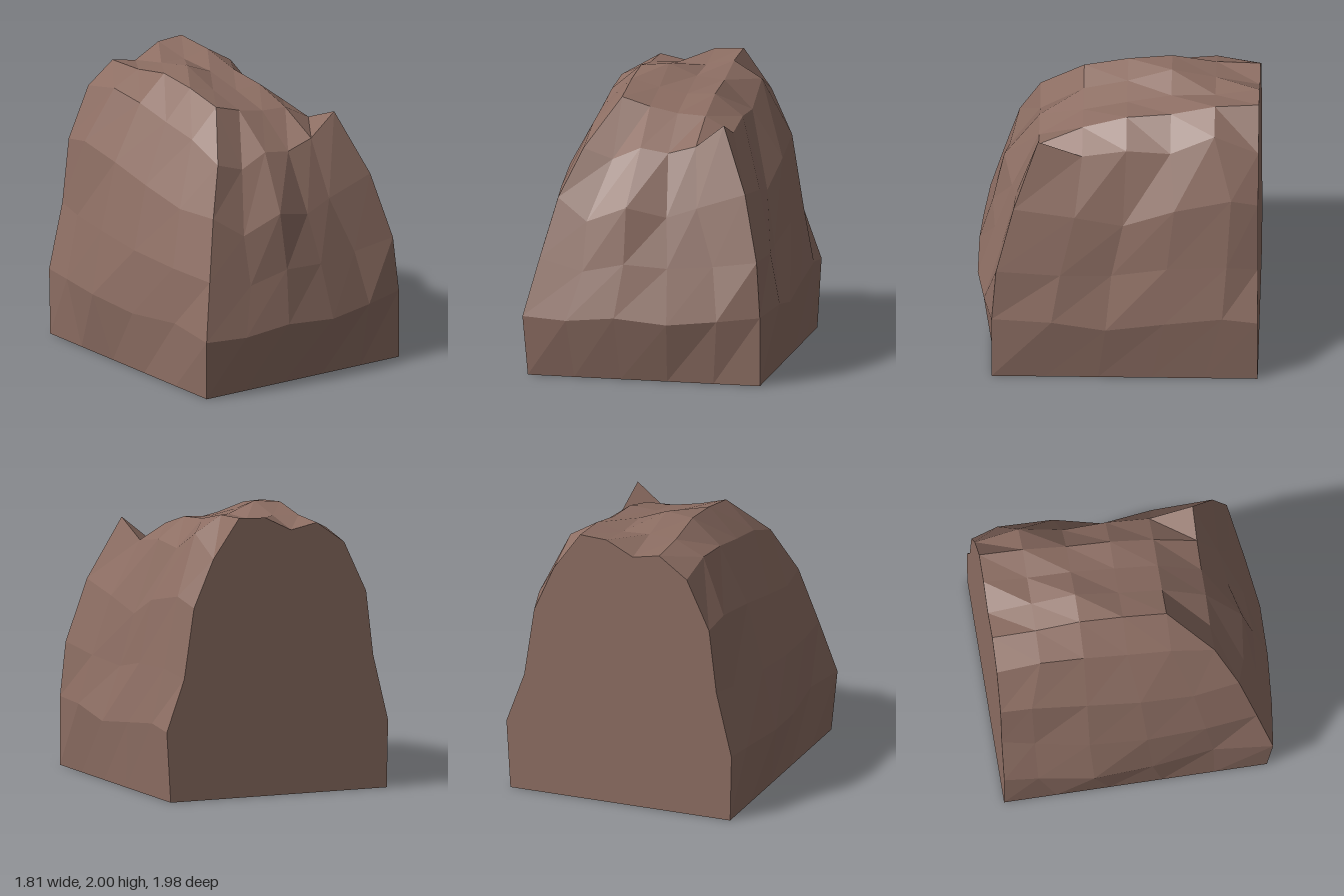
import * as THREE from 'three';

// Facetted sheet from a grid of [x, y, z] rows; rows run upward, columns to the viewer's right.
function sheet(name, rows, material) {
  const pos = [];
  for (let r = 0; r + 1 < rows.length; r++) {
    for (let c = 0; c + 1 < rows[r].length; c++) {
      const a = rows[r][c], b = rows[r][c + 1], d = rows[r + 1][c + 1], e = rows[r + 1][c];
      pos.push(...a, ...b, ...d, ...a, ...d, ...e);
    }
  }
  return facets(name, pos, material);
}

function facets(name, pos, material) {
  const geometry = new THREE.BufferGeometry();
  geometry.setAttribute('position', new THREE.Float32BufferAttribute(pos, 3));
  geometry.computeVertexNormals();
  const mesh = new THREE.Mesh(geometry, material);
  mesh.name = name;
  return mesh;
}

export function createModel() {
  const group = new THREE.Group();
  group.name = 'rock';
  const stone = new THREE.MeshStandardMaterial({ color: 0x8d6e63 });
  stone.name = 'brown stone';
  stone.flatShading = true;
  stone.side = THREE.DoubleSide;

  const steps = [0, 1, 2, 3, 4, 5];
  const lerp = (a, b, i) => a + (b - a) * i / 5;

  // Crown: heights over a regular grid, front row first
  const crownX = [-0.49, -0.28, -0.08, 0.12, 0.32, 0.52];
  const crownZ = [0.56, 0.25, -0.06, -0.37, -0.68, -0.99];
  const heights = [
    [1.58, 1.51, 1.6, 1.57, 1.63, 1.79],
    [1.69, 1.89, 1.83, 1.79, 1.78, 1.67],
    [1.74, 1.95, 1.9, 1.86, 1.87, 1.72],
    [1.8, 1.98, 2.0, 1.92, 1.9, 1.7],
    [1.83, 1.93, 1.94, 1.93, 1.97, 1.85],
    [1.77, 1.92, 1.88, 1.98, 1.99, 1.71],
  ];
  const crown = heights.map((row, j) => row.map((y, i) => [crownX[i], y, crownZ[j]]));

  // Front: straight foot, three bulging courses, then the crown edge
  const front = [
    steps.map(i => [lerp(-0.82, 0.85, i), 0, 0.88]),
    [[-0.85, 0.43, 0.92], [-0.53, 0.42, 0.96], [-0.18, 0.46, 0.985], [0.2, 0.43, 0.99], [0.55, 0.46, 0.94], [0.85, 0.49, 0.88]],
    [[-0.75, 0.83, 0.82], [-0.43, 0.76, 0.87], [-0.13, 0.83, 0.89], [0.18, 0.81, 0.87], [0.5, 0.83, 0.83], [0.82, 0.88, 0.85]],
    [[-0.64, 1.25, 0.71], [-0.42, 1.1, 0.775], [-0.13, 1.22, 0.81], [0.15, 1.15, 0.75], [0.36, 1.22, 0.72], [0.71, 1.34, 0.73]],
    crown[0],
  ];

  // Left side (+x), front to back
  const left = [
    steps.map(i => [0.85, 0, lerp(0.88, -0.99, i)]),
    [front[1][5], [0.9, 0.5, 0.46], [0.89, 0.43, 0.08], [0.88, 0.48, -0.33], [0.88, 0.53, -0.74], [0.88, 0.5, -0.99]],
    [front[2][5], [0.82, 0.85, 0.4], [0.77, 0.82, 0.04], [0.8, 0.9, -0.35], [0.8, 0.92, -0.77], [0.745, 0.87, -0.99]],
    [front[3][5], [0.72, 1.28, 0.3], [0.7, 1.2, -0.04], [0.73, 1.35, -0.4], [0.71, 1.43, -0.8], [0.67, 1.37, -0.99]],
    crown.map(row => row[5]),
  ];

  // Right side (-x), back to front
  const right = [
    steps.map(i => [-0.82, 0, lerp(-0.99, 0.88, i)]),
    [[-0.83, 0.48, -0.99], [-0.85, 0.47, -0.75], [-0.91, 0.47, -0.36], [-0.87, 0.43, 0.06], [-0.82, 0.46, 0.5], front[1][0]],
    [[-0.715, 0.95, -0.99], [-0.75, 0.92, -0.76], [-0.82, 0.92, -0.38], [-0.83, 0.88, 0.03], [-0.8, 0.85, 0.45], front[2][0]],
    [[-0.66, 1.41, -0.99], [-0.68, 1.45, -0.77], [-0.7, 1.4, -0.38], [-0.71, 1.33, 0], [-0.69, 1.25, 0.38], front[3][0]],
    crown.map(row => row[0]).reverse(),
  ];

  // Flat back: a fan closing the rear outline, seen from behind
  const outline = [
    ...left.map(row => row[5]).reverse(),
    ...right.map(row => row[0]),
    ...crown[5].slice(1, 5),
  ];
  const back = [];
  outline.forEach((p, i) => back.push(0, 0.9, -0.99, ...p, ...outline[(i + 1) % outline.length]));

  group.add(
    sheet('frontFace', front, stone),
    sheet('leftFace', left, stone),
    sheet('rightFace', right, stone),
    sheet('crown', crown, stone),
    facets('backFace', back, stone),
  );
  return group;
}
